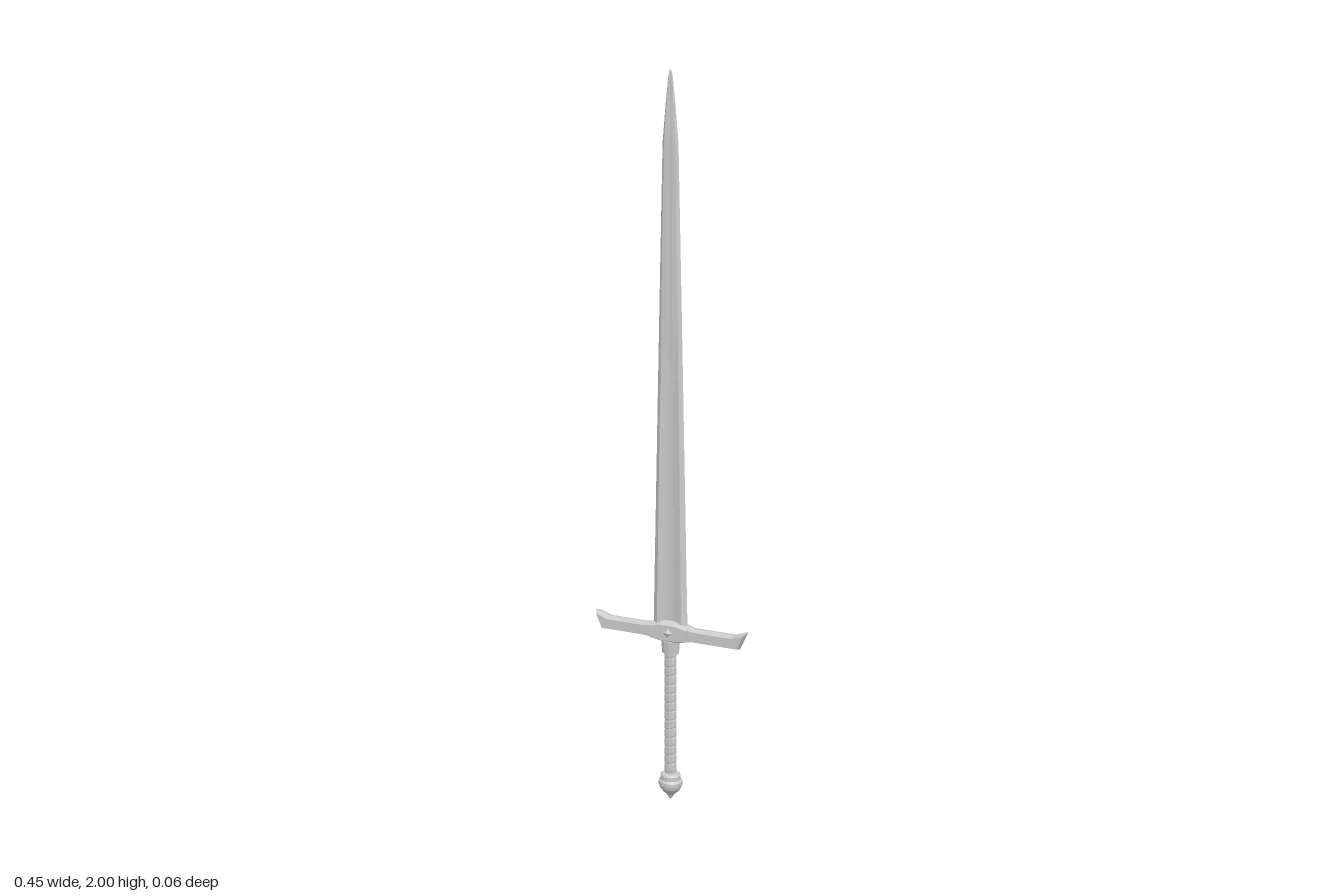
import * as THREE from 'three';

// Skin a row of rings (each counter-clockwise seen from the far end) and cap both ends.
function loft(rings) {
  const n = rings[0].length, pos = [];
  const tri = (...pts) => pts.forEach((p) => pos.push(...p));
  for (let i = 0; i < rings.length - 1; i++) {
    for (let j = 0; j < n; j++) {
      const k = (j + 1) % n;
      const a = rings[i][j], b = rings[i][k], c = rings[i + 1][k], d = rings[i + 1][j];
      tri(a, b, c);
      tri(a, c, d);
    }
  }
  const first = rings[0], last = rings[rings.length - 1];
  for (let j = 1; j < n - 1; j++) {
    tri(first[0], first[j + 1], first[j]);
    tri(last[0], last[j], last[j + 1]);
  }
  const geometry = new THREE.BufferGeometry();
  geometry.setAttribute('position', new THREE.Float32BufferAttribute(pos, 3));
  geometry.computeVertexNormals();
  return geometry;
}

// Blade section: sharp edges, thick shoulders (t) and a hollow centre (c).
function bladeRing(y, w, t, c) {
  const half = [[w, 0], [0.72 * w, t], [0.25 * w, c], [0, c * 0.85], [-0.25 * w, c], [-0.72 * w, t]];
  return [
    ...half.map(([x, z]) => [x, y, -z]),
    ...half.map(([x, z]) => [-x, y, z]),
  ];
}

// Guard section: flat front and back, ridged top and bottom.
function guardRing(x, y0, y1, z, bevel, point = 0, slant = 0) {
  return [[y1, 0], [y1 - bevel, z], [y0 + bevel, z], [y0, 0], [y0 + bevel, -z], [y1 - bevel, -z]]
    .map(([y, pz]) => [x + Math.sign(x) * ((pz === 0 ? point : 0) - slant * (y1 - y) / (y1 - y0)), y, pz]);
}

export function createModel() {
  const model = new THREE.Group();
  const flat = new THREE.MeshStandardMaterial({ color: 0xcccccc, flatShading: true });
  const add = (name, geometry) => {
    const mesh = new THREE.Mesh(geometry, flat);
    mesh.name = name;
    model.add(mesh);
    return mesh;
  };

  // Blade with a fuller that runs out partway up
  add('blade', loft([
    bladeRing(0.5, 0.051, 0.011, 0.005),
    bladeRing(1.15, 0.037, 0.0085, 0.0045),
    bladeRing(1.38, 0.032, 0.0075, 0.0075),
    bladeRing(1.82, 0.022, 0.006, 0.006),
    bladeRing(1.92, 0.013, 0.0045, 0.0045),
    bladeRing(1.985, 0.006, 0.003, 0.003),
    bladeRing(2.0, 0.002, 0.001, 0.001),
  ]));

  // Crossguard: thick centre, straight arms, upswept ends
  const arm = [
    [0.055, 0.482, 0.527, 0.022, 0.006],
    [0.055, 0.482, 0.527, 0.018, 0.006],
    [0.075, 0.485, 0.523, 0.018, 0.005],
    [0.185, 0.485, 0.523, 0.018, 0.005],
    [0.221, 0.485, 0.535, 0.018, 0.005, 0.006, 0.022],
  ];
  add('crossguard', loft([
    ...arm.map(([x, ...rest]) => guardRing(-x, ...rest)).reverse(),
    guardRing(-0.02, 0.472, 0.54, 0.022, 0.012),
    guardRing(0.02, 0.472, 0.54, 0.022, 0.012),
    ...arm.map((a) => guardRing(...a)),
  ]));

  // Diamond studs on both faces of the guard
  for (const side of [1, -1]) {
    const stud = add(side > 0 ? 'frontStud' : 'backStud', new THREE.ConeGeometry(0.016, 0.008, 4));
    stud.rotation.x = side * Math.PI / 2;
    stud.position.set(0, 0.507, side * 0.025);
  }

  // Collar under the guard
  const collar = add('collar', new THREE.CylinderGeometry(0.028, 0.025, 0.035, 12));
  collar.scale.z = 0.6;
  collar.position.y = 0.46;

  // Oval grip with slanted wrap grooves
  const grip = [];
  const ovalRing = (y, r, tilt) => Array.from({ length: 12 }, (_, i) => {
    const a = i / 12 * Math.PI * 2;
    return [Math.cos(a) * r, y + Math.cos(a) * tilt, -Math.sin(a) * r * 0.62];
  });
  const turns = 14, pitch = 0.37 / turns;
  grip.push(ovalRing(0.07, 0.017, 0));
  for (let i = 0; i < turns; i++) {
    const y = 0.085 + i * pitch;
    grip.push(ovalRing(y, 0.0165, 0.004), ovalRing(y + 0.004, 0.018, 0.004), ovalRing(y + pitch - 0.004, 0.018, 0.004));
  }
  grip.push(ovalRing(0.465, 0.017, 0));
  add('grip', loft(grip));

  // Faceted pommel with a pointed button
  const profile = [
    [0, 0], [0.007, 0.007], [0.011, 0.016], [0.02, 0.024], [0.031, 0.038],
    [0.034, 0.048], [0.034, 0.058], [0.029, 0.064], [0.029, 0.076], [0.024, 0.081], [0, 0.081],
  ].map(([r, y]) => new THREE.Vector2(r, y));
  const pommel = add('pommel', new THREE.LatheGeometry(profile, 16));
  pommel.scale.z = 0.9;

  return model;
}
